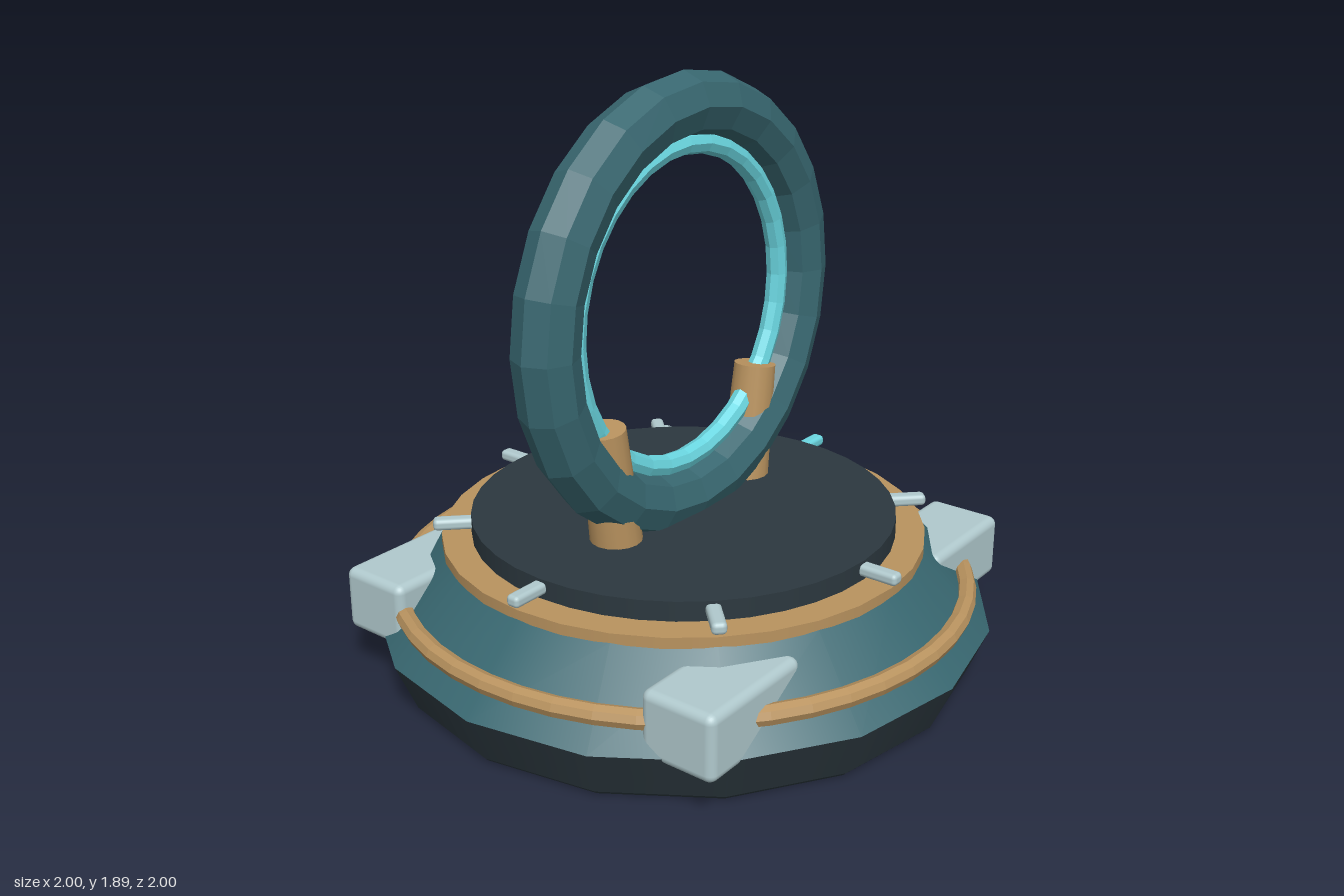
import * as THREE from 'three';
import { RoundedBoxGeometry } from 'three/addons/geometries/RoundedBoxGeometry.js';

const mat = (name, color) => {
  const m = new THREE.MeshStandardMaterial({ color });
  m.name = name;
  return m;
};

export function createModel() {
  const dark = mat('dark slate', 0x2c383f);
  const teal = mat('deep teal', 0x386770);
  const bronze = mat('bronze', 0xb9935f);
  const pale = mat('pale steel', 0xb0c9cd);
  const cyan = mat('glowing cyan', 0x6ad6e0);

  const model = new THREE.Group();
  model.name = 'ringPortal';
  const add = (name, geometry, material, x = 0, y = 0, z = 0, parent = model) => {
    const mesh = new THREE.Mesh(geometry, material);
    mesh.name = name;
    mesh.position.set(x, y, z);
    parent.add(mesh);
    return mesh;
  };
  const faceted = (g) => {
    const flat = g.toNonIndexed();
    flat.computeVertexNormals();
    return flat;
  };
  // round layer from y0 to y1
  const layer = (name, rTop, rBottom, y0, y1, sides, material) =>
    add(name, new THREE.CylinderGeometry(rTop, rBottom, y1 - y0, sides), material, 0, (y0 + y1) / 2);

  // stepped platform
  layer('baseBevel', 0.935, 0.92, 0, 0.015, 16, dark);
  layer('base', 1, 0.935, 0.015, 0.17, 16, dark);
  layer('slopedBody', 0.78, 1, 0.17, 0.4, 16, teal);
  layer('trimPlate', 0.78, 0.78, 0.395, 0.43, 32, bronze);
  layer('topDisc', 0.685, 0.685, 0.425, 0.493, 40, dark);

  // band around the slope
  const band = add('slopeBand', faceted(new THREE.TorusGeometry(0.92, 0.031, 8, 48)), bronze, 0, 0.255);
  band.rotation.x = Math.PI / 2;

  // four corner blocks
  for (const sx of [-1, 1]) {
    for (const sz of [-1, 1]) {
      add('cornerBlock', new RoundedBoxGeometry(0.25, 0.21, 0.42, 3, 0.028), pale, sx * 0.6, 0.253, sz * 0.6);
    }
  }

  // eight marker pins, the rear one lit
  for (let i = 0; i < 8; i++) {
    const a = (i * Math.PI) / 4;
    const rear = i === 4;
    const pin = add(rear ? 'litPin' : 'markerPin', new RoundedBoxGeometry(0.046, 0.038, 0.16, 2, 0.014),
      rear ? cyan : pale, Math.sin(a) * 0.725, 0.465, Math.cos(a) * 0.725);
    pin.rotation.y = a;
  }

  // upright ring with its glowing inner lining
  const ring = new THREE.Group();
  ring.name = 'uprightRing';
  ring.position.y = 1.157;
  ring.rotation.y = Math.PI / 2;
  model.add(ring);
  add('outerRing', faceted(new THREE.TorusGeometry(0.63, 0.1, 8, 24)), teal, 0, 0, 0, ring);
  add('innerLining', faceted(new THREE.TorusGeometry(0.51, 0.035, 8, 32)), cyan, 0, 0, 0, ring);

  // two leaning posts that hold the ring
  for (const s of [-1, 1]) {
    const post = add('supportPost', new THREE.CylinderGeometry(0.07, 0.083, 0.41, 16), bronze, 0, 0.665, s * 0.362);
    post.rotation.x = s * 0.14;
  }
  return model;
}
